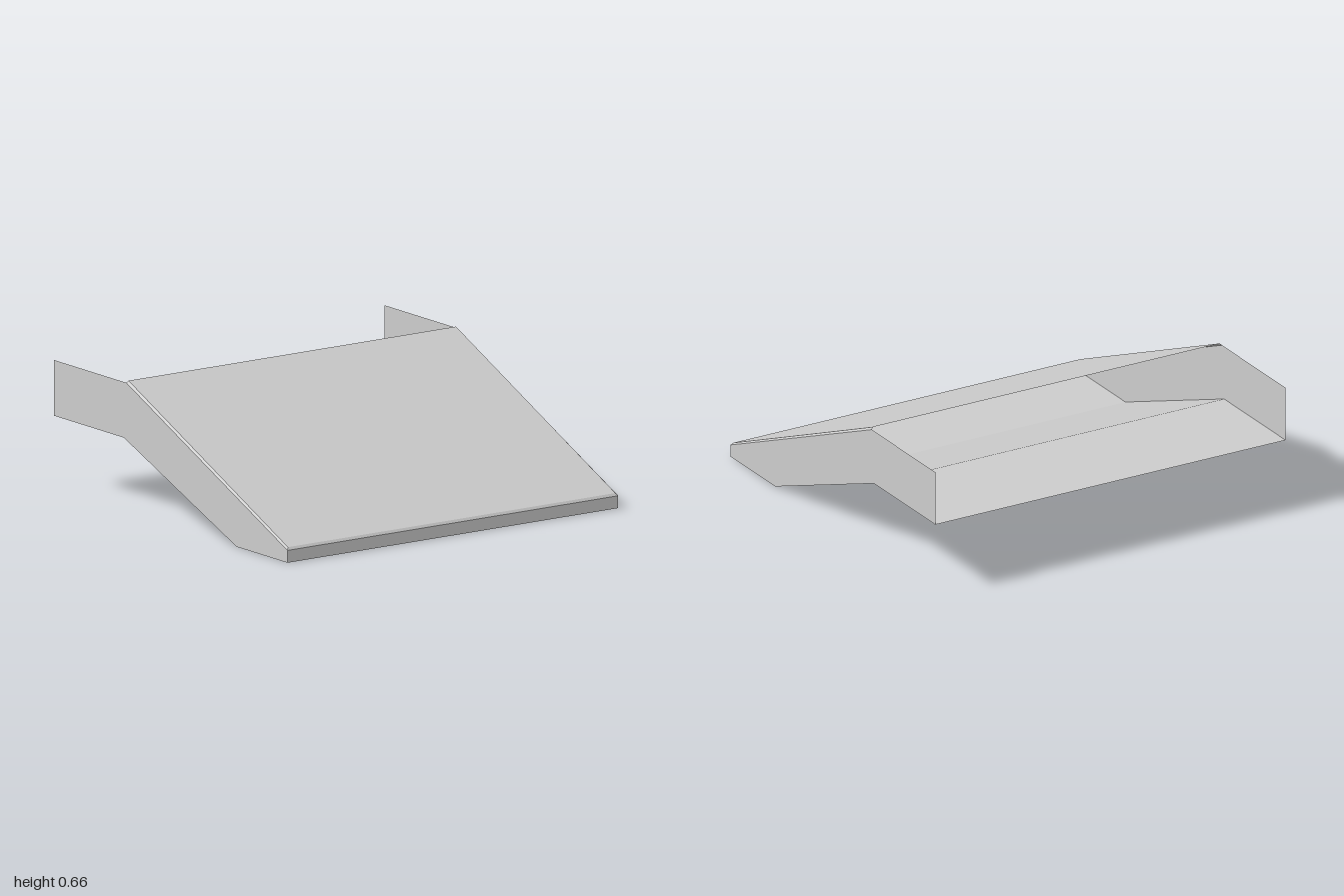
import * as THREE from 'three';

const grey = new THREE.MeshStandardMaterial({ color: 0xcccccc, side: THREE.DoubleSide });
grey.name = 'light grey sheet';

// Flat-shaded sheet lofted through pairs of [left point, right point]
function sheet(name, rows) {
  const pos = [];
  for (let i = 0; i < rows.length - 1; i++) {
    const [a, b] = rows[i], [c, d] = rows[i + 1];
    pos.push(...a, ...b, ...d, ...a, ...d, ...c);
  }
  const geo = new THREE.BufferGeometry();
  geo.setAttribute('position', new THREE.Float32BufferAttribute(pos, 3));
  geo.computeVertexNormals();
  const mesh = new THREE.Mesh(geo, grey);
  mesh.name = name;
  return mesh;
}

// Row spanning the width at half-width w
const across = (w, y, z) => [[-w, y, z], [w, y, z]];

export function createModel() {
  const model = new THREE.Group();
  model.name = 'ramp';

  const front = 0.975, back = -0.975, crest = -0.37;
  const lipY = 0.062, wallY = 0.65, floorY = 0.37;
  const bendLow = 0.55, bendHigh = -0.39;

  // Floor: rear deck, slope, front base
  model.add(sheet('floor', [
    across(1, 0, front), across(1, 0, bendLow),
    across(1, floorY, bendHigh), across(1, floorY, back),
  ]));

  // Front face, chamfered lip and sloping ramp plate
  const inner = 0.99, topFront = [0.075, 0.965], topBack = [0.66, -0.365];
  model.add(sheet('frontFace', [across(1, 0, front), across(1, lipY, front)]));
  model.add(sheet('frontChamfer', [across(1, lipY, front), across(inner, ...topFront)]));
  model.add(sheet('rampPlate', [across(inner, ...topFront), across(inner, ...topBack)]));

  for (const side of [-1, 1]) {
    const label = side > 0 ? 'left' : 'right';

    // Narrow chamfer joining the ramp plate to the wall
    const outerPt = (y, z) => [side, y, z];
    const innerPt = (y, z) => [side * inner, y, z];
    const pair = (a, b) => (side > 0 ? [a, b] : [b, a]);
    model.add(sheet(label + 'Chamfer', [
      pair(innerPt(...topFront), outerPt(lipY, front)),
      pair(innerPt(...topBack), outerPt(wallY, crest)),
    ]));

    // Side wall, drawn in z/y and turned to face outward
    const outline = [
      [front, 0], [front, lipY], [crest, wallY],
      [back, wallY], [back, floorY], [bendHigh, floorY], [bendLow, 0],
    ].map(([z, y]) => new THREE.Vector2(-side * z, y));
    const geo = new THREE.ShapeGeometry(new THREE.Shape(outline));
    geo.rotateY(side * Math.PI / 2);
    const wall = new THREE.Mesh(geo, grey);
    wall.position.x = side;
    wall.name = label + 'Wall';
    model.add(wall);
  }
  return model;
}
